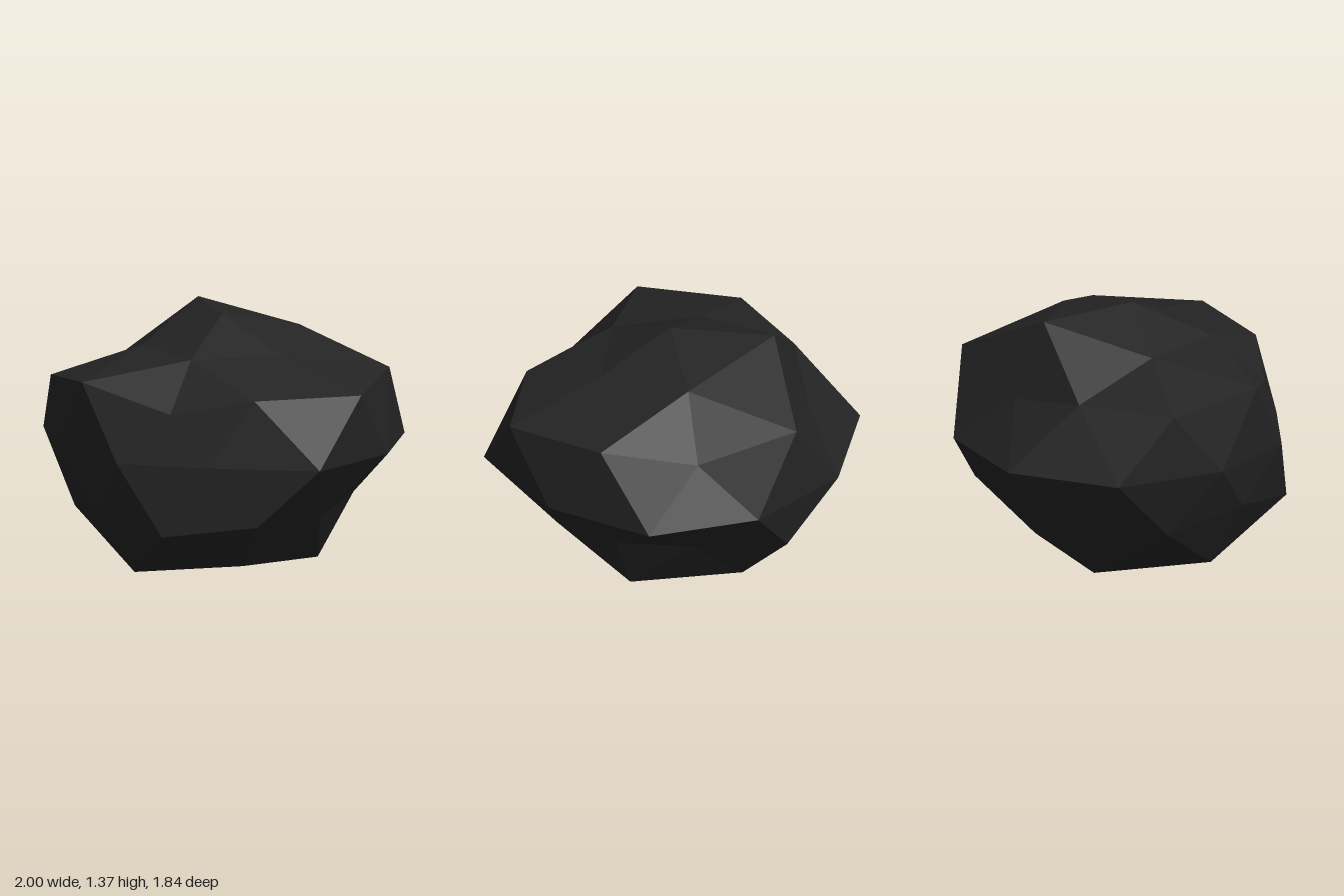
import * as THREE from 'three';

// Boulder: a once-subdivided icosahedron, each corner pushed in or out, flattened in y.
const CENTRE = new THREE.Vector3(0, 0.68, 0.1);
const SQUASH = 0.75;
const DEG = Math.PI / 180;

// One ring of corners: latitudes alternate, radii run round from the start angle.
function ring(lats, start, radii) {
  const step = 360 / radii.length;
  return radii.map((r, i) => {
    const lat = lats[i % lats.length] * DEG;
    const az = (start + i * step) * DEG;
    return new THREE.Vector3(
      r * Math.cos(lat) * Math.cos(az),
      r * Math.sin(lat) * SQUASH,
      r * Math.cos(lat) * Math.sin(az)
    ).add(CENTRE);
  });
}

function rockGeometry() {
  const [top] = ring([90], 0, [0.93]);
  const crown = ring([58.28], 0, [0.82, 0.815, 0.82, 1.08, 0.93]);
  const upper = ring([26.57, 31.72], 0, [1.118, 0.92, 0.8, 1.04, 1.04, 0.905, 0.84, 1.09, 0.84, 1.07]);
  const middle = ring([0], 18, [1.03, 0.8, 0.87, 0.92, 1.05, 1.05, 1.0, 0.97, 1.015, 0.975]);
  const lower = ring([-31.72, -26.57], 0, [0.83, 0.955, 0.98, 0.87, 0.94, 0.96, 0.82, 0.96, 0.765, 0.8]);
  const foot = ring([-58.28], 36, [0.94, 1.05, 1.06, 1.01, 0.99]);
  const [bottom] = ring([-90], 0, [0.86]);

  const points = [];
  const tri = (flip, a, b, c) => points.push(a, ...(flip ? [c, b] : [b, c]));

  // Cap from a pole through five corners to a ring of ten
  function cap(pole, inner, outer, offset, flip) {
    for (let k = 0; k < 5; k++) {
      const a = inner[k], b = inner[(k + 1) % 5];
      const [p, q, r] = [0, 1, 2].map((n) => outer[(2 * k + offset + n) % 10]);
      tri(flip, pole, b, a);
      tri(flip, a, q, p);
      tri(flip, a, b, q);
      tri(flip, b, r, q);
    }
  }

  // Zigzag band between the middle ring and the ring above or below it
  function band(outer, flip) {
    for (let j = 0; j < 10; j++) {
      const n = (j + 1) % 10;
      tri(flip, middle[j], outer[j], outer[n]);
      tri(flip, middle[j], outer[n], middle[n]);
    }
  }

  cap(top, crown, upper, 0, false);
  band(upper, false);
  band(lower, true);
  cap(bottom, foot, lower, 1, true);

  const geometry = new THREE.BufferGeometry().setFromPoints(points);
  geometry.computeVertexNormals();
  return geometry;
}

export function createModel() {
  const stone = new THREE.MeshStandardMaterial({ color: 0x242424, flatShading: true });
  stone.name = 'dark stone';

  const rock = new THREE.Mesh(rockGeometry(), stone);
  rock.name = 'rock';

  const model = new THREE.Group();
  model.name = 'boulder';
  model.add(rock);
  return model;
}
